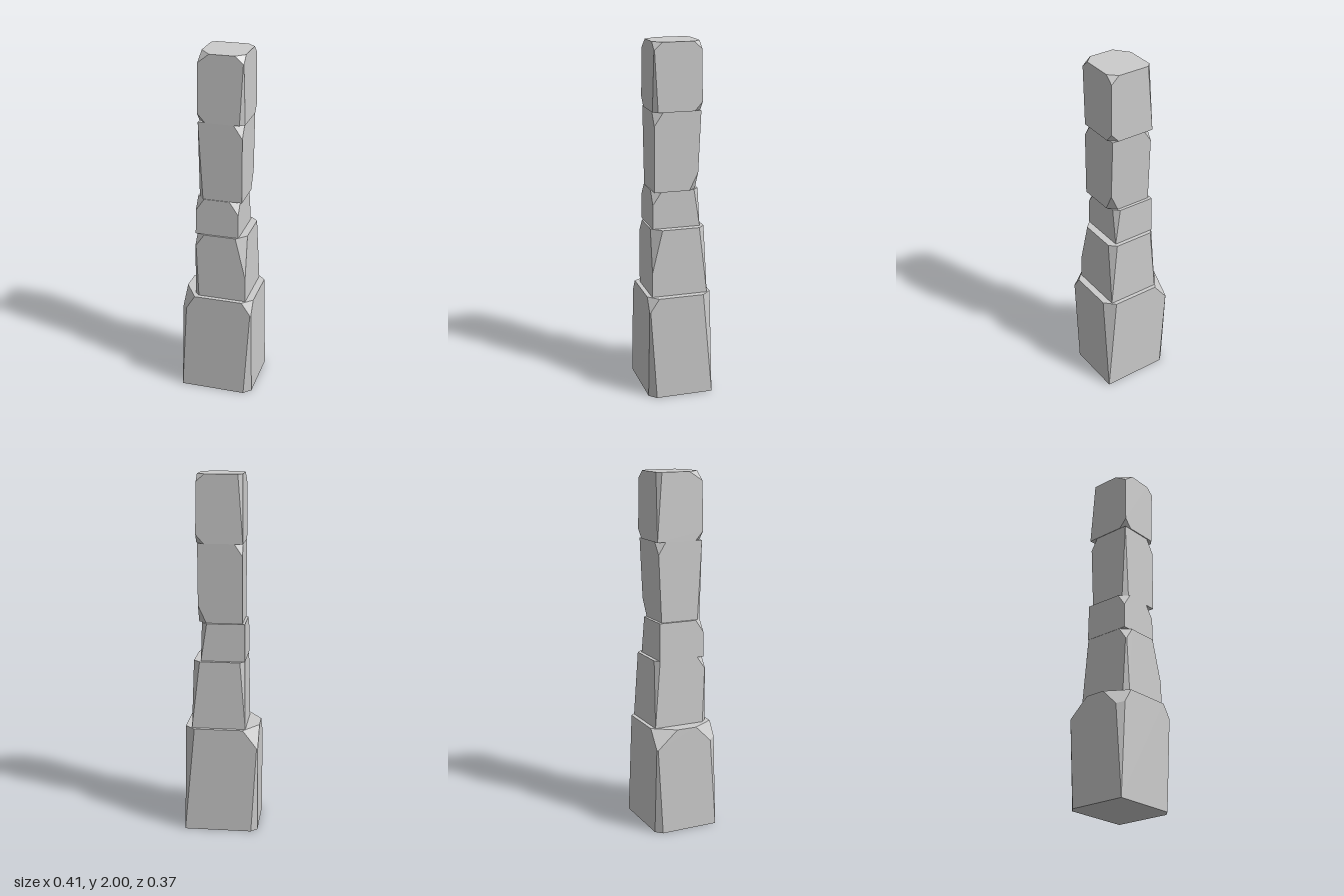
import * as THREE from 'three';
import { ConvexGeometry } from 'three/addons/geometries/ConvexGeometry.js';

const material = new THREE.MeshStandardMaterial({ color: 0xcccccc, flatShading: true });

// Vertical edges of a block
const frontLeft = { x: 1, z: 1 };
const frontRight = { x: -1, z: 1 };
const backLeft = { x: 1, z: -1 };
const backRight = { x: -1, z: -1 };

// Chips: a small nick at the top or bottom of an edge, or a sliver running along
// the whole edge, widest at its top or bottom. Skew widens the cut along z.
const nick = (edge, t, size, steep = 1.5, skew = 1) => ({ edge, t, size, skew, drop: () => size * steep });
const sliver = (edge, t, size, skew = 1) => ({ edge, t, size, skew, drop: (height) => height });

// Convex solid enclosed by planes: keep the triple intersections inside all of them
function solidFromPlanes(planes) {
  const points = [];
  const matrix = new THREE.Matrix3();
  planes.forEach((a, i) => planes.slice(0, i).forEach((b, j) => planes.slice(0, j).forEach((c) => {
    matrix.set(...a.normal, ...b.normal, ...c.normal);
    if (Math.abs(matrix.determinant()) < 1e-6) return;
    const hit = new THREE.Vector3(-a.constant, -b.constant, -c.constant).applyMatrix3(matrix.invert());
    const inside = planes.every((p) => p.distanceToPoint(hit) < 1e-5);
    if (inside && points.every((p) => p.distanceTo(hit) > 1e-4)) points.push(hit);
  })));
  return new ConvexGeometry(points);
}

// Tapered stone standing on its own base, with chips cut off its edges
function stone({ height, x, z, taper = 1, backFlare = 0, chips }) {
  const along = ([min, max], side, t) =>
    (min + max) / 2 + side * (max - min) / 2 * THREE.MathUtils.lerp(1, taper, t);
  const corner = (edge, t) => new THREE.Vector3(
    along(x, edge.x, t), height * t, along(z, edge.z, t) - (edge.z < 0 ? backFlare * t : 0));
  const centre = corner(frontLeft, 0.5).add(corner(backRight, 0.5)).multiplyScalar(0.5);
  const plane = (a, b, c) => {
    const p = new THREE.Plane().setFromCoplanarPoints(a, b, c);
    return p.distanceToPoint(centre) > 0 ? p.negate() : p;
  };

  // Ends and four sides
  const planes = [0, 1].map((t) => plane(corner(frontLeft, t), corner(frontRight, t), corner(backRight, t)));
  const ring = [frontLeft, frontRight, backRight, backLeft];
  ring.forEach((edge, i) => {
    planes.push(plane(corner(edge, 0), corner(edge, 1), corner(ring[(i + 1) % 4], 0)));
  });

  // Chips
  for (const { edge, t, size, skew, drop } of chips) {
    const c = corner(edge, t);
    const reach = drop(height) / height;
    planes.push(plane(
      c.clone().setX(c.x - edge.x * size),
      c.clone().setZ(c.z - edge.z * size * skew),
      corner(edge, Math.abs(t - reach))
    ));
  }
  return new THREE.Mesh(solidFromPlanes(planes), material);
}

const baseStone = {
  height: 0.6, x: [-0.205, 0.205], z: [-0.183, 0.183],
  chips: [
    nick(frontLeft, 1, 0.055), sliver(frontLeft, 0, 0.04),
    sliver(backLeft, 1, 0.055),
    nick(frontRight, 1, 0.08, 1.6, 1.6), sliver(frontRight, 1, 0.035, 1.25),
    nick(backRight, 1, 0.085, 1.3, 1.45), sliver(backRight, 0, 0.035),
  ],
};

const lowerStone = {
  height: 0.38, x: [-0.133, 0.166], z: [-0.16, 0.158], taper: 0.95,
  chips: [
    nick(frontLeft, 1, 0.055, 4.4),
    sliver(backLeft, 1, 0.036),
    nick(frontRight, 1, 0.05), sliver(frontRight, 0, 0.026),
    sliver(backRight, 1, 0.025),
  ],
};

const middleStone = {
  height: 0.21, x: [-0.127, 0.118], z: [-0.13, 0.14], taper: 0.98,
  chips: [nick(frontLeft, 1, 0.05), sliver(backLeft, 1, 0.03), nick(frontRight, 1, 0.047)],
};

const upperStone = {
  height: 0.44, x: [-0.11, 0.135], z: [-0.11, 0.133], backFlare: 0.02,
  chips: [
    nick(frontLeft, 1, 0.05),
    nick(backLeft, 0, 0.045, 2.2),
    sliver(frontRight, 0, 0.025),
    nick(backRight, 1, 0.045),
  ],
};

const topStone = {
  height: 0.37, x: [-0.113, 0.145], z: [-0.135, 0.139], taper: 0.96,
  chips: [
    nick(frontLeft, 1, 0.047, 0.9), sliver(frontLeft, 0, 0.025),
    nick(backLeft, 1, 0.045, 0.9), nick(backLeft, 0, 0.045, 1.1),
    nick(frontRight, 1, 0.062, 0.8, 1.25), nick(frontRight, 0, 0.045, 1.1),
    sliver(backRight, 1, 0.024),
  ],
};

export function createModel() {
  const pillar = new THREE.Group();
  pillar.name = 'stonePillar';
  let y = 0;
  // Stack the stones from the ground up
  for (const [name, spec] of Object.entries({ baseStone, lowerStone, middleStone, upperStone, topStone })) {
    const mesh = stone(spec);
    mesh.name = name;
    mesh.position.y = y;
    y += spec.height;
    pillar.add(mesh);
  }
  return pillar;
}
